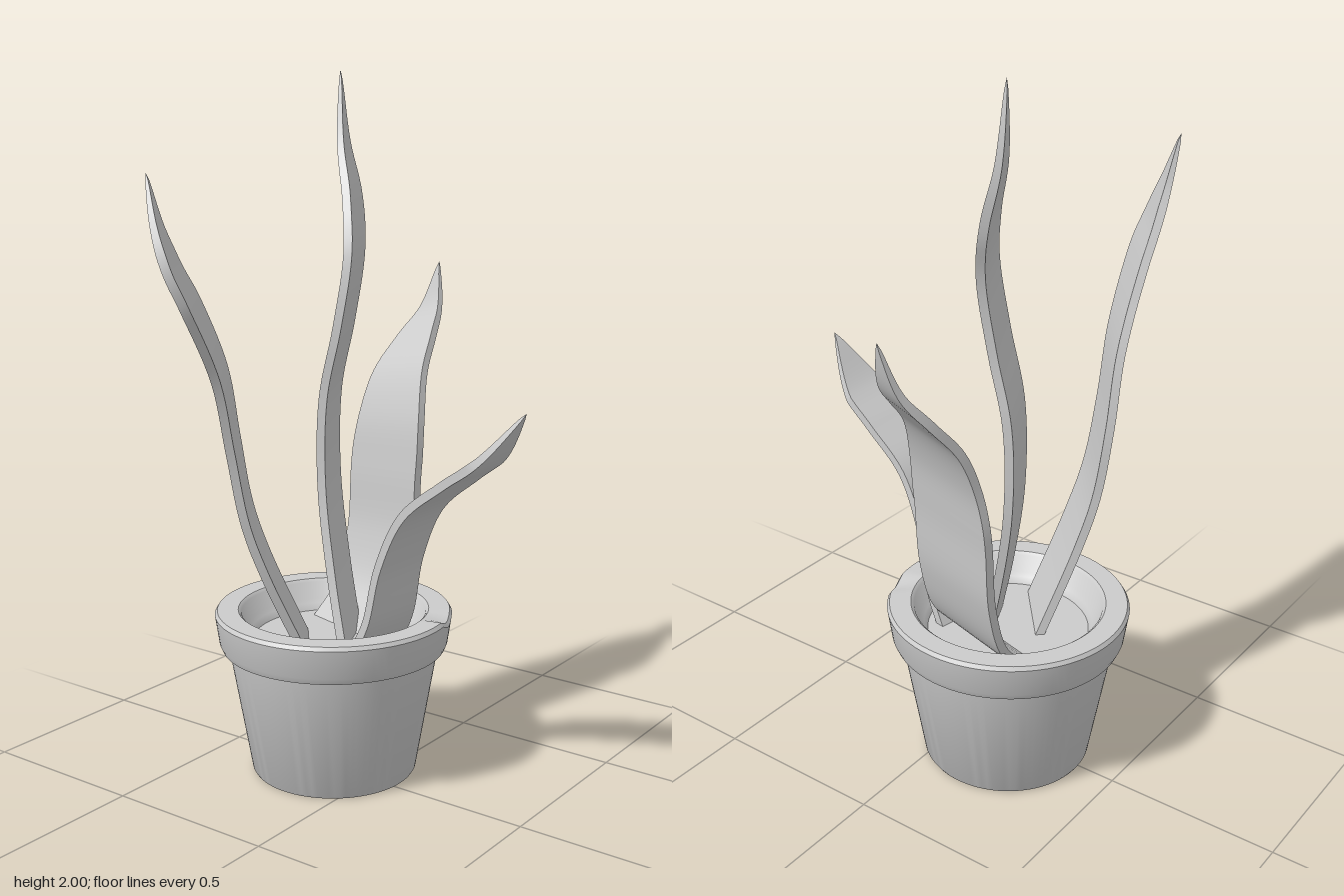
import * as THREE from 'three';
import { toCreasedNormals } from 'three/addons/utils/BufferGeometryUtils.js';

const material = new THREE.MeshStandardMaterial({ color: 0xcccccc });

// Turned pot with a thick rim, a sloping inner wall and a soil disc
function createPot() {
  const profile = [
    [0, 0], [0.235, 0], [0.24, 0.008], [0.302, 0.368], [0.322, 0.374], [0.33, 0.392],
    [0.342, 0.475], [0.335, 0.486], [0.275, 0.486], [0.266, 0.478], [0.25, 0.43],
    [0.238, 0.42], [0.228, 0.4], [0, 0.4],
  ].map(([r, y]) => new THREE.Vector2(r, y));
  const geometry = new THREE.LatheGeometry(profile, 96);
  // Small chip in the front of the rim
  const p = geometry.attributes.position;
  for (let i = 0; i < p.count; i++) {
    const d = Math.hypot(p.getX(i) - 0.12, p.getZ(i) - 0.325);
    if (p.getY(i) > 0.46 && d < 0.05) p.setY(i, p.getY(i) - 0.016 * (1 - (d / 0.05) ** 2));
  }
  const pot = new THREE.Mesh(toCreasedNormals(geometry, 0.6), material);
  pot.name = 'pot';
  pot.position.set(0.025, 0, -0.15);
  return pot;
}

// Thick ribbon swept along a midrib; its half-width vector turns from
// baseSpan to topSpan and narrows to a point beyond the fraction taperStart
function createLeaf(name, midrib, baseSpan, topSpan, taperStart) {
  const curve = new THREE.CatmullRomCurve3(midrib.map((v) => new THREE.Vector3(...v)));
  const base = new THREE.Vector3(...baseSpan), top = new THREE.Vector3(...topSpan);
  const rows = 56, halfThickness = 0.012;
  const positions = [], indices = [];
  for (let i = 0; i <= rows; i++) {
    const t = i / rows;
    const mid = curve.getPoint(t);
    const span = base.clone().lerp(top, t);
    const n = span.clone().cross(curve.getTangent(t)).normalize();
    n.multiplyScalar(halfThickness * Math.min(1, Math.sqrt((1 - t) * 5)));
    span.multiplyScalar(1 - Math.max(0, (t - taperStart) / (1 - taperStart)) ** 1.4);
    const L = mid.clone().sub(span), R = mid.clone().add(span);
    const c = [L.clone().add(n), R.clone().add(n), R.clone().sub(n), L.clone().sub(n)];
    // Each side has its own corners so that the long edges stay sharp
    for (let k = 0; k < 4; k++) positions.push(...c[k].toArray(), ...c[(k + 1) % 4].toArray());
    if (i === rows) break;
    for (let k = 0; k < 4; k++) {
      const v = i * 8 + k * 2;
      indices.push(v, v + 1, v + 9, v, v + 9, v + 8);
    }
  }
  const geometry = new THREE.BufferGeometry();
  geometry.setAttribute('position', new THREE.Float32BufferAttribute(positions, 3));
  geometry.setIndex(indices);
  geometry.computeVertexNormals();
  const leaf = new THREE.Mesh(geometry, material);
  leaf.name = name;
  return leaf;
}

export function createModel() {
  const group = new THREE.Group();
  group.name = 'pottedPlant';
  group.add(createPot());
  // Short leaf arching forward
  group.add(createLeaf('frontLeaf', [
    [0.045, 0.38, -0.02], [0.04, 0.485, 0.032], [0.033, 0.66, 0.075], [0.023, 0.82, 0.155],
    [0.017, 0.925, 0.28], [0.01, 1.0, 0.38], [0, 1.135, 0.49],
  ], [0.097, 0, 0.017], [0.07, 0, 0], 0.8));
  // Tallest leaf, swaying in an S
  group.add(createLeaf('tallLeaf', [
    [0.04, 0.38, -0.1], [0.063, 0.6, -0.16], [0.08, 0.85, -0.205], [0.088, 1.1, -0.205],
    [0.1, 1.3, -0.165], [0.13, 1.5, -0.15], [0.175, 1.65, -0.19], [0.206, 1.8, -0.243],
    [0.22, 2, -0.265],
  ], [0.09, 0, -0.04], [0.09, 0, -0.045], 0.7));
  // Broad leaf bending out to the left
  group.add(createLeaf('leftLeaf', [
    [0.085, 0.38, -0.16], [0.207, 0.485, -0.153], [0.268, 0.65, -0.153], [0.288, 0.85, -0.154],
    [0.31, 1, -0.15], [0.365, 1.125, -0.157], [0.448, 1.22, -0.157], [0.52, 1.305, -0.152],
    [0.57, 1.44, -0.155],
  ], [0.04, 0, -0.145], [0.03, -0.03, -0.14], 0.4));
  // Long leaf leaning out to the right
  group.add(createLeaf('rightLeaf', [
    [-0.07, 0.38, -0.172], [-0.177, 0.65, -0.232], [-0.22, 0.8, -0.26], [-0.255, 1, -0.275],
    [-0.312, 1.2, -0.267], [-0.43, 1.4, -0.256], [-0.488, 1.5, -0.264], [-0.514, 1.6, -0.284],
    [-0.51, 1.735, -0.322],
  ], [0.09, 0, -0.075], [0.11, 0, -0.075], 0.6));
  return group;
}
